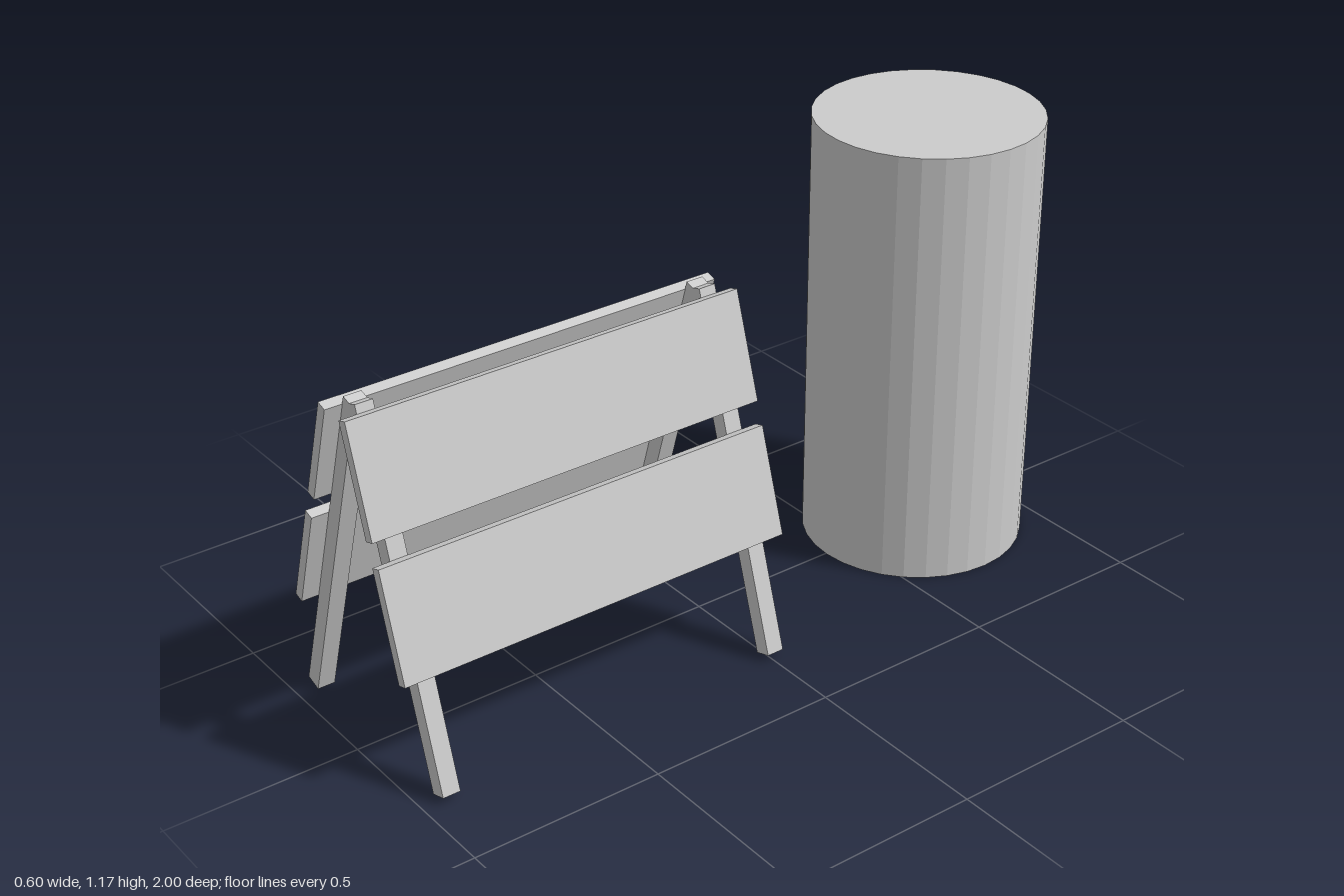
import * as THREE from 'three';

const TILT = THREE.MathUtils.degToRad(17.35);
const MID_Z = 0.465; // middle of the barricade along its length

export function createModel() {
  const model = new THREE.Group();
  model.name = 'barricadeAndBarrel';

  const grey = new THREE.MeshStandardMaterial({ color: 0xcccccc, flatShading: true });
  grey.name = 'light grey';

  // Standing barrel behind the barricade
  const barrel = new THREE.Mesh(new THREE.CylinderGeometry(0.291, 0.291, 1.17, 32), grey);
  barrel.name = 'barrel';
  barrel.position.set(0.005, 0.585, -0.709);
  model.add(barrel);

  // A box leaning inwards on one side of the barricade
  const leaning = (parent, name, side, size, x, y, z) => {
    const mesh = new THREE.Mesh(new THREE.BoxGeometry(...size), grey);
    mesh.name = name;
    mesh.position.set(side * x, y, z);
    mesh.rotation.z = side * TILT;
    parent.add(mesh);
  };

  const barricade = new THREE.Group();
  barricade.name = 'barricade';
  model.add(barricade);

  for (const side of [1, -1]) {
    const word = side > 0 ? 'left' : 'right';
    const frame = new THREE.Group();
    frame.name = word + 'Frame';
    barricade.add(frame);

    // Front and back legs, crossing the other side's legs at the top
    leaning(frame, word + 'FrontLeg', side, [0.045, 0.932, 0.046], 0.142, 0.459, MID_Z + 0.467);
    leaning(frame, word + 'BackLeg', side, [0.045, 0.932, 0.046], 0.142, 0.459, MID_Z - 0.47);

    // Two planks lying on the outside of the legs
    leaning(frame, word + 'UpperPlank', side, [0.028, 0.279, 1.07], 0.085, 0.76, MID_Z);
    leaning(frame, word + 'LowerPlank', side, [0.028, 0.279, 1.07], 0.1875, 0.436, MID_Z);
  }

  return model;
}
